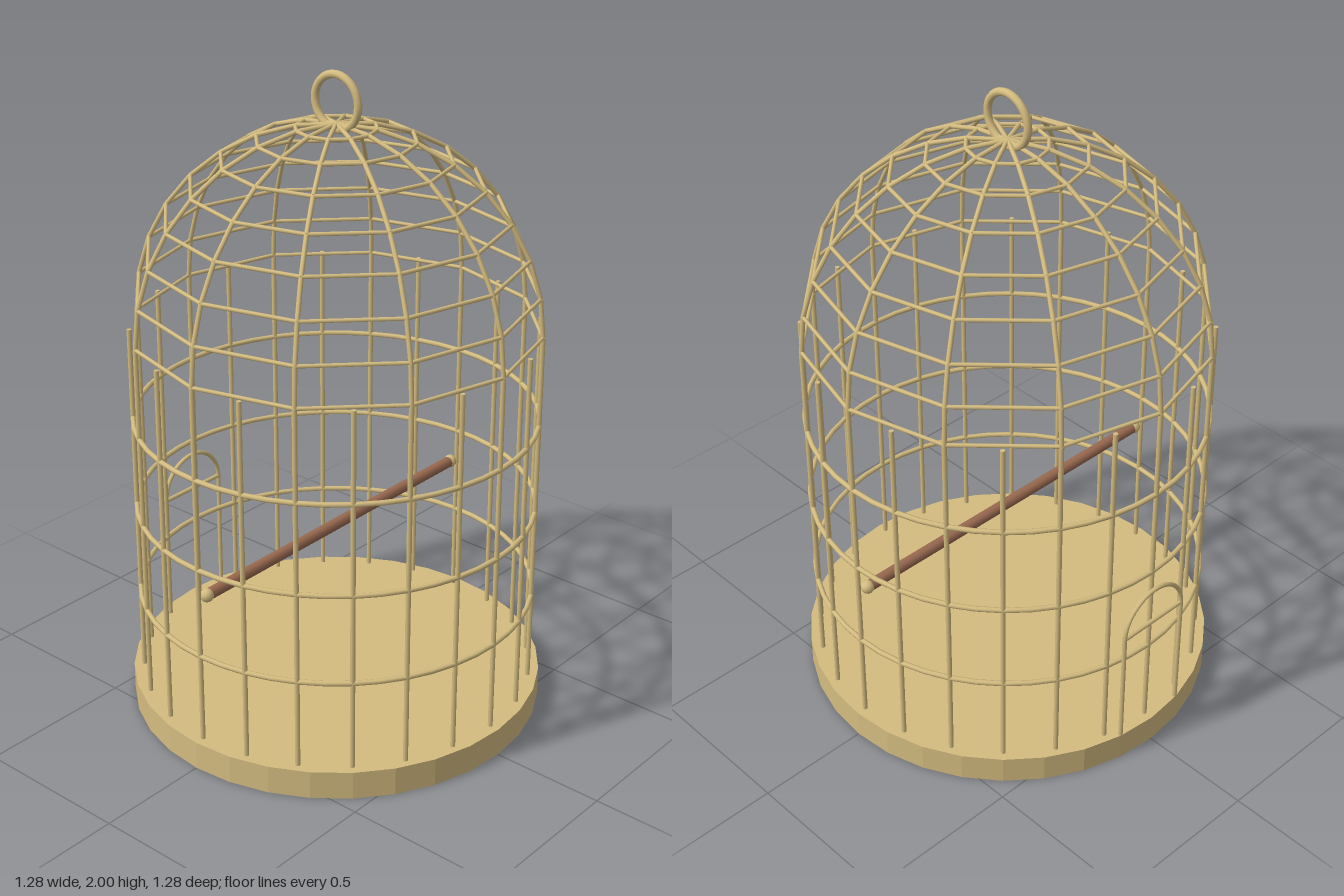
import * as THREE from 'three';

const brass = new THREE.MeshStandardMaterial({ color: 0xd4bc80 });
const brassFlat = new THREE.MeshStandardMaterial({ color: 0xd4bc80, flatShading: true });
const wood = new THREE.MeshStandardMaterial({ color: 0x9a6a50 });

const R = 0.61;      // cage radius
const FLOOR = 0.09;  // top of the base
const EAVE = 1.235;  // where the dome starts
const UP = new THREE.Vector3(0, 1, 0);

function add(parent, name, geometry, material = brass) {
  const mesh = new THREE.Mesh(geometry, material);
  mesh.name = name;
  parent.add(mesh);
  return mesh;
}

// Straight round rod between two points
function rod(parent, name, a, b, radius, material = brass, sides = 8) {
  const dir = b.clone().sub(a);
  const mesh = add(parent, name, new THREE.CylinderGeometry(radius, radius, dir.length(), sides), material);
  mesh.position.copy(a).add(b).multiplyScalar(0.5);
  mesh.quaternion.setFromUnitVectors(UP, dir.normalize());
  return mesh;
}

function group(parent, name) {
  const g = new THREE.Group();
  g.name = name;
  parent.add(g);
  return g;
}

const polar = (r, angle, y) => new THREE.Vector3(r * Math.cos(angle), y, r * Math.sin(angle));

export function createModel() {
  const model = new THREE.Group();
  model.name = 'birdCage';

  // Base tray
  add(model, 'base', new THREE.CylinderGeometry(0.642, 0.642, FLOOR, 32), brassFlat).position.y = FLOOR / 2;

  // Upright bars
  const bars = group(model, 'bars');
  for (let i = 0; i < 24; i++) {
    const a = (i / 24) * Math.PI * 2;
    rod(bars, 'bar', polar(R, a, FLOOR - 0.01), polar(R, a, EAVE), 0.0075);
  }

  // Round hoops around the bars
  const hoops = group(model, 'hoops');
  for (const y of [0.375, 0.662, 0.95]) {
    const hoop = add(hoops, 'hoop', new THREE.TorusGeometry(R, 0.008, 8, 48));
    hoop.rotation.x = Math.PI / 2;
    hoop.position.y = y;
  }

  // Dome: twelve ribs in straight steps, tied by twelve-sided rings
  const dome = group(model, 'dome');
  const STEPS = 8, RIBS = 12;
  const node = (rib, step) => {
    const t = (step / STEPS) * Math.PI / 2;
    return polar(R * Math.cos(t), (rib / RIBS) * Math.PI * 2, EAVE + R * Math.sin(t));
  };
  for (let i = 0; i < RIBS; i++) {
    for (let j = 0; j < STEPS; j++) {
      rod(dome, 'domeRib', node(i, j), node(i, j + 1), 0.007);
      rod(dome, 'domeRing', node(i, j), node(i + 1, j), 0.006);
    }
  }

  // Hanging ring
  const ring = add(model, 'hangingRing', new THREE.TorusGeometry(0.08, 0.012, 10, 32));
  ring.rotation.y = Math.PI / 2;
  ring.position.y = 1.908;

  // Perch with small end caps
  const perch = group(model, 'perch');
  rod(perch, 'perchRod', new THREE.Vector3(-0.585, 0.565, 0), new THREE.Vector3(0.585, 0.565, 0), 0.018, wood, 12);
  for (const s of [-1, 1]) {
    add(perch, 'perchCap', new THREE.SphereGeometry(0.021, 12, 8)).position.set(s * 0.575, 0.565, 0);
  }

  // Arched door at the back
  const door = group(model, 'door');
  door.position.z = -0.625;
  const W = 0.122, SPRING = 0.48;
  for (const s of [-1, 1]) {
    rod(door, 'doorSide', new THREE.Vector3(s * W, FLOOR, 0), new THREE.Vector3(s * W, SPRING, 0), 0.007);
  }
  rod(door, 'doorCrossbar', new THREE.Vector3(-W, SPRING, 0), new THREE.Vector3(W, SPRING, 0), 0.007);
  add(door, 'doorArch', new THREE.TorusGeometry(W, 0.007, 8, 20, Math.PI)).position.y = SPRING;

  return model;
}
